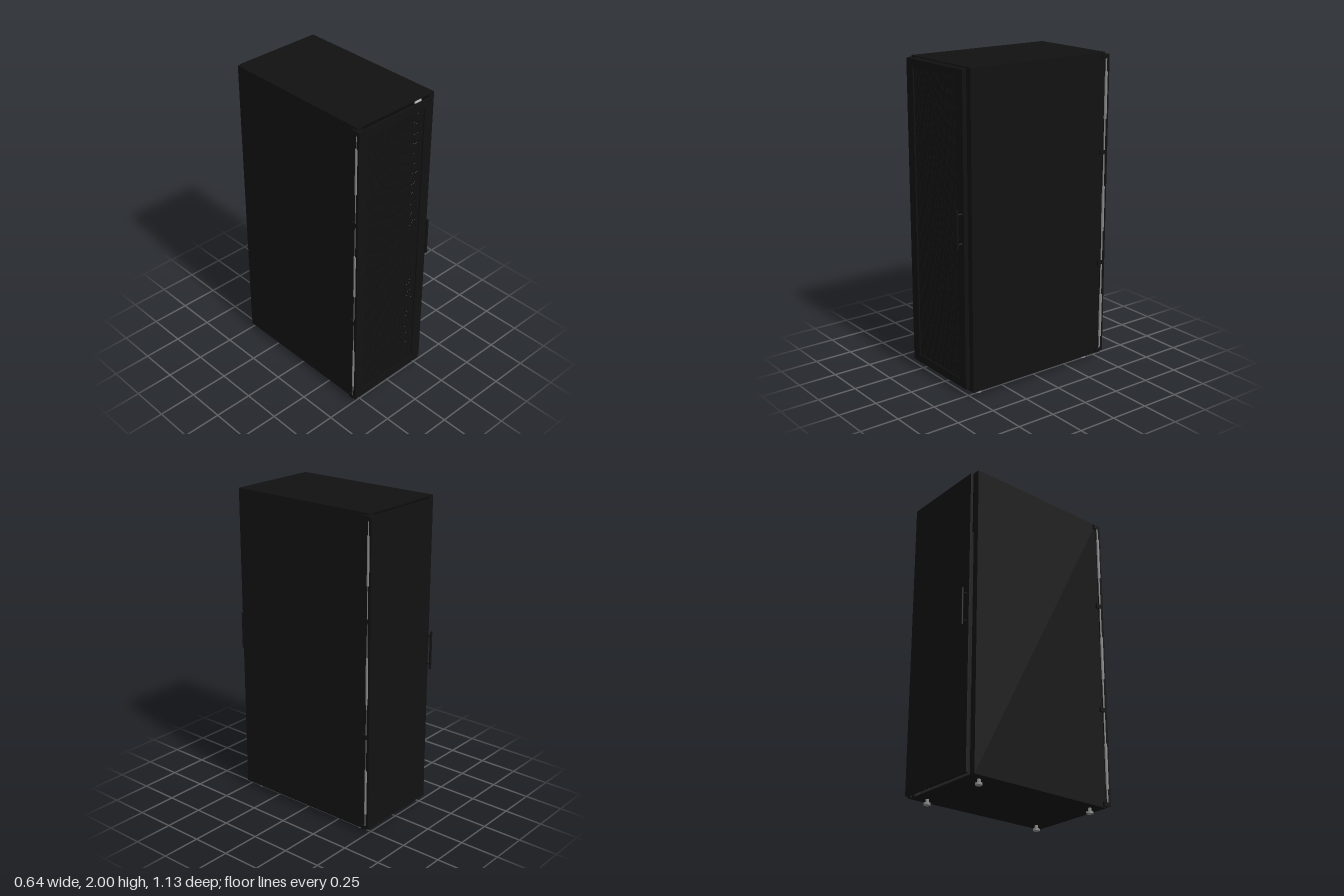
import * as THREE from 'three';

const black = new THREE.MeshStandardMaterial({ color: 0x111111 });
black.name = 'black paint';
const steel = new THREE.MeshStandardMaterial({ color: 0x888888 });
steel.name = 'steel';
const zinc = new THREE.MeshStandardMaterial({ color: 0xc4c4c4 });
zinc.name = 'pale zinc';

// Box given by its low and high corners
function box(parent, name, mat, x0, x1, y0, y1, z0, z1) {
  const m = new THREE.Mesh(new THREE.BoxGeometry(x1 - x0, y1 - y0, z1 - z0), mat);
  m.position.set((x0 + x1) / 2, (y0 + y1) / 2, (z0 + z1) / 2);
  m.name = name;
  parent.add(m);
  return m;
}

// Upright cylinder between two heights
function rod(parent, name, mat, x, z, r, y0, y1, sides = 16) {
  const m = new THREE.Mesh(new THREE.CylinderGeometry(r, r, y1 - y0, sides), mat);
  m.position.set(x, (y0 + y1) / 2, z);
  m.name = name;
  parent.add(m);
  return m;
}

function createCabinet() {
  const g = new THREE.Group();
  g.name = 'cabinet';
  box(g, 'topPanel', black, -0.3, 0.3, 1.994, 2, -0.498, 0.498);
  box(g, 'bottomPanel', black, -0.3, 0.3, 0.035, 0.041, -0.498, 0.498);
  for (const s of [-1, 1]) {
    const side = box(g, 'sidePanel', black, -0.005, 0.005, 0.035, 2, -0.498, 0.498);
    side.position.x = s * 0.295;
    for (const t of [-1, 1]) {
      const post = box(g, 'cornerPost', black, -0.017, 0.017, 0.041, 1.994, -0.02, 0.02);
      post.position.x = s * 0.277;
      post.position.z = t * 0.478;
      // Equipment mounting rails just inside the posts
      const rail = box(g, 'mountingRail', zinc, -0.024, 0.024, 0.1, 1.93, -0.004, 0.004);
      rail.position.x = s * 0.257;
      rail.position.z = t * 0.42;
      // Levelling feet
      rod(g, 'footPad', steel, s * 0.24, t * 0.42, 0.021, 0, 0.014);
      rod(g, 'footStem', steel, s * 0.24, t * 0.42, 0.011, 0.014, 0.036);
    }
  }
  return g;
}

// Door with hinge line at -x and handle at +x
function createDoor(name, perforated) {
  const g = new THREE.Group();
  g.name = name;
  const [x0, x1, y0, y1, z0, z1] = [-0.313, 0.26, 0.05, 1.986, 0.507, 0.526];
  const [ix0, ix1, iy0, iy1] = [-0.247, 0.2, 0.1, 1.94];

  if (perforated) {
    box(g, 'doorStile', black, x0, ix0, y0, y1, z0, z1);
    box(g, 'doorStile', black, ix1, x1, y0, y1, z0, z1);
    box(g, 'doorRail', black, ix0, ix1, y0, iy0, z0, z1);
    box(g, 'doorRail', black, ix0, ix1, iy1, y1, z0, z1);
    // Perforated sheet woven from crossing strips
    const pitch = 0.0125, strip = 0.0085;
    for (let x = ix0 + 0.004; x < ix1; x += pitch)
      box(g, 'meshStrip', black, x, Math.min(x + strip, ix1), iy0, iy1, 0.515, 0.518);
    for (let y = iy0; y < iy1; y += pitch)
      box(g, 'meshStrip', black, ix0, ix1, y, Math.min(y + strip, iy1), 0.5155, 0.5175);
  } else {
    box(g, 'doorPanel', black, x0, x1, y0, y1, z0, z1);
  }

  // Pull handle
  rod(g, 'handleBar', black, 0.24, 0.558, 0.0075, 0.94, 1.18);
  for (const y of [0.97, 1.15]) {
    const post = rod(g, 'handlePost', black, 0.24, 0.54, 0.006, y - 0.018, y + 0.018);
    post.position.y = y;
    post.rotation.x = Math.PI / 2;
  }

  // Hinge: long pin, three sleeves and black brackets
  rod(g, 'hingePin', steel, -0.309, 0.504, 0.005, 0.05, 1.98);
  for (const y of [0.15, 0.87, 1.59])
    rod(g, 'hingeSleeve', steel, -0.31, 0.505, 0.009, y, y + 0.29);
  for (const y of [0.055, 0.66, 1.38, 1.975]) {
    box(g, 'hingeBracketSide', black, -0.314, -0.3, y - 0.014, y + 0.014, 0.472, 0.507);
    box(g, 'hingeBracketFront', black, -0.3, -0.285, y - 0.014, y + 0.014, 0.498, 0.507);
  }
  return g;
}

export function createModel() {
  const model = new THREE.Group();
  model.name = 'equipmentCabinet';
  model.add(createCabinet());
  model.add(createDoor('frontDoor', true));
  const back = createDoor('backDoor', false);
  back.rotation.y = Math.PI;
  model.add(back);
  return model;
}
